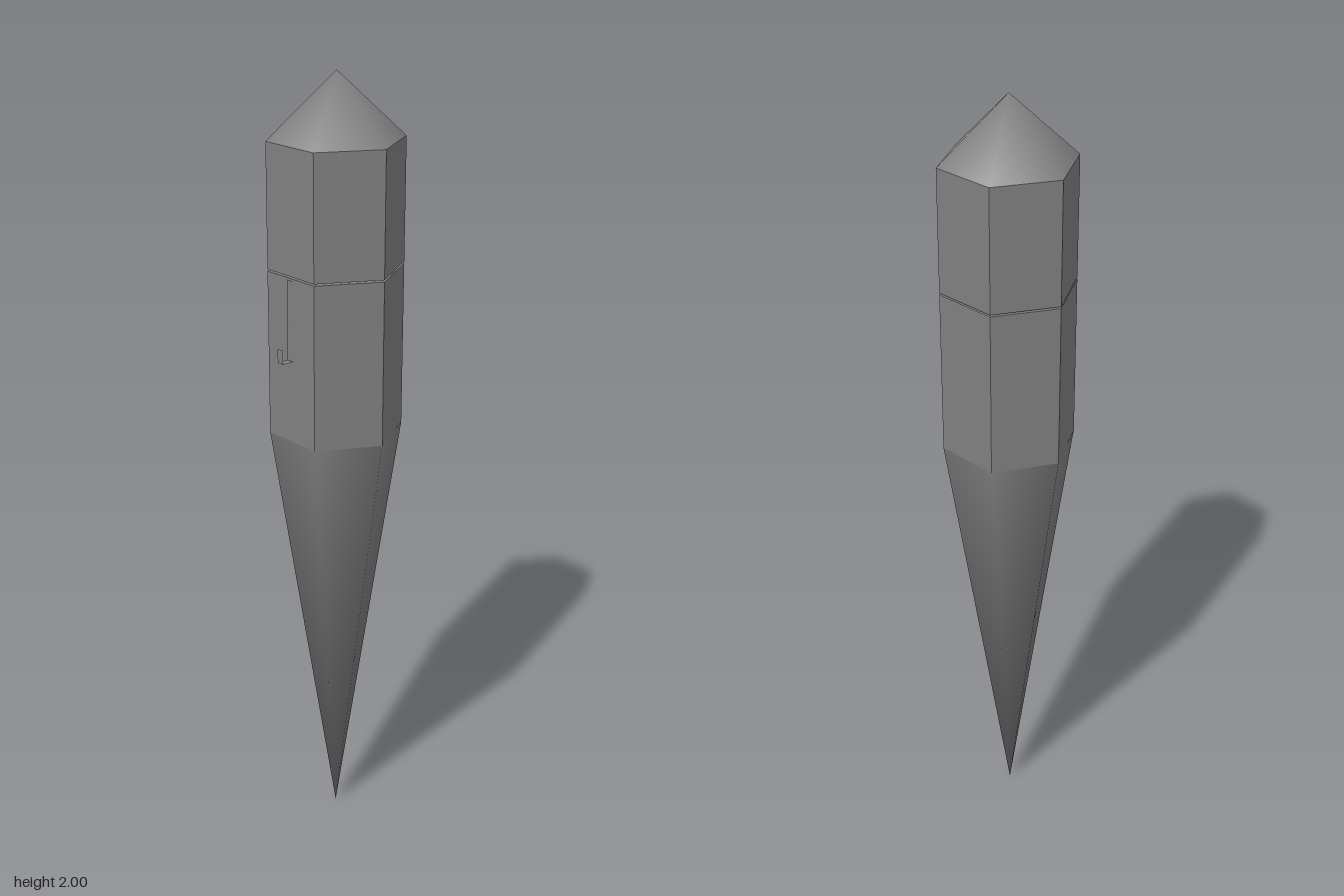
import * as THREE from 'three';
import { mergeVertices } from 'three/addons/utils/BufferGeometryUtils.js';

const RADIUS = 0.168;
const AXIS_X = 0.016;
const COLOR = 0x808080;

export function createModel() {
  const model = new THREE.Group();
  model.name = 'hexagonalPen';
  const flat = new THREE.MeshStandardMaterial({ color: COLOR, flatShading: true });
  const smooth = new THREE.MeshStandardMaterial({ color: COLOR });
  const thin = new THREE.MeshStandardMaterial({ color: COLOR, flatShading: true, side: THREE.DoubleSide });

  const add = (name, geometry, material, x, y) => {
    const mesh = new THREE.Mesh(geometry, material);
    mesh.name = name;
    mesh.position.set(x, y, 0);
    model.add(mesh);
    return mesh;
  };

  // Six-sided prism between two heights
  const prism = (name, y0, y1) =>
    add(name, new THREE.CylinderGeometry(RADIUS, RADIUS, y1 - y0, 6), flat, AXIS_X, (y0 + y1) / 2);

  // Six-sided point with soft normals shared across its sides and apex
  const point = (name, height, y, down) => {
    let geometry = new THREE.ConeGeometry(RADIUS, height, 6, 1, true);
    geometry.deleteAttribute('normal');
    geometry.deleteAttribute('uv');
    geometry = mergeVertices(geometry);
    geometry.computeVertexNormals();
    const mesh = add(name, geometry, smooth, AXIS_X, y);
    if (down) mesh.rotation.x = Math.PI;
  };

  // Barrel and cap, separated by a hairline gap
  prism('barrel', 1.12, 1.534);
  prism('cap', 1.5385, 1.843);

  // Long writing tip and short cap point
  point('tip', 1.12, 0.56, true);
  point('capPoint', 0.157, 1.9215, false);

  // Thin clip strip: runs down the flat side, then hooks outward and up
  const path = [[-0.132, 1.53], [-0.132, 1.33], [-0.163, 1.33], [-0.163, 1.365]];
  const clip = new THREE.PlaneGeometry(1, 0.02, path.length - 1, 1);
  const pos = clip.attributes.position;
  for (let i = 0; i < pos.count; i++) {
    const [x, y] = path[i % path.length];
    pos.setXYZ(i, x, y, pos.getY(i));
  }
  clip.computeVertexNormals();
  add('clip', clip, thin, 0, 0);

  return model;
}
